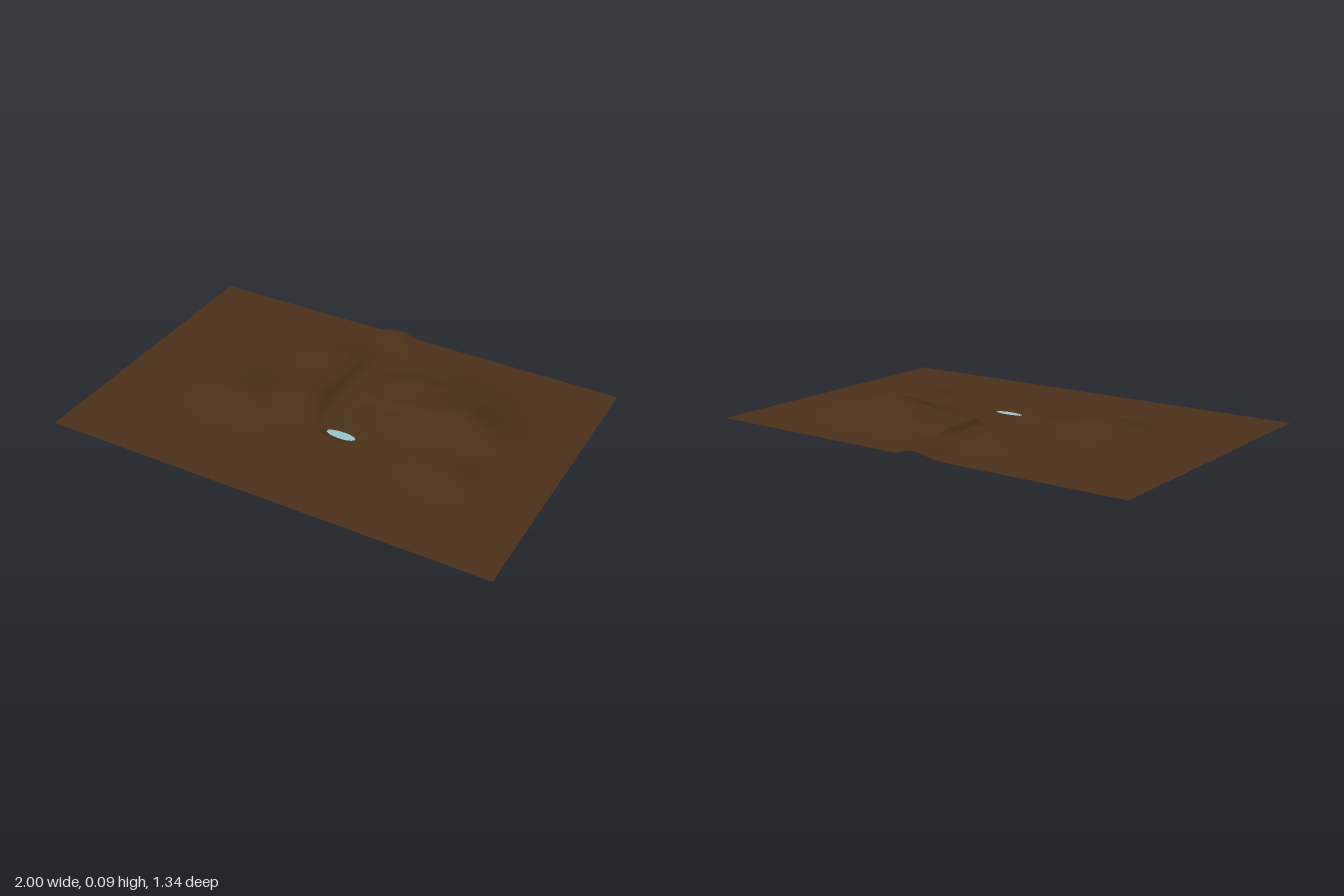
import * as THREE from 'three';

const BASE = 0.023;
const smooth = THREE.MathUtils.smoothstep;

// Rounded hills: [x, z, height, spread left, right, back, front]
const hills = [
  [0.51, -0.13, 0.068, 0.14, 0.125, 0.11, 0.085],
  [0.60, 0.19, 0.022, 0.10, 0.08, 0.09, 0.07],
  [0.36, -0.36, 0.018, 0.14, 0.16, 0.08, 0.09],
  [-0.43, 0.14, 0.044, 0.09, 0.12, 0.12, 0.075],
  [-0.17, 0.00, 0.036, 0.10, 0.07, 0.14, 0.08],
  [-0.17, -0.33, 0.024, 0.10, 0.06, 0.09, 0.12],
  [-0.04, -0.66, 0.022, 0.06, 0.035, 0.06, 0.06],
];

// Stream bed: [x, z] from the back ridge down to the pond
const stream = [[0.0, -0.50], [-0.02, -0.40], [-0.03, -0.10], [0.0, 0.06], [0.09, 0.147]];

function streamDistance(x, z) {
  let best = Infinity;
  for (let i = 0; i < stream.length - 1; i++) {
    const [ax, az] = stream[i], [bx, bz] = stream[i + 1];
    const dx = bx - ax, dz = bz - az;
    const t = THREE.MathUtils.clamp(((x - ax) * dx + (z - az) * dz) / (dx * dx + dz * dz), 0, 1);
    best = Math.min(best, Math.hypot(x - ax - t * dx, z - az - t * dz));
  }
  return best;
}

function height(x, z) {
  let y = BASE;
  for (const [cx, cz, h, left, right, back, front] of hills) {
    const u = (x - cx) / (x < cx ? left : right);
    const v = (z - cz) / (z < cz ? back : front);
    y += h * Math.exp(-0.5 * (u * u + v * v));
  }
  // terrace with short cliffs on its left and front edges
  const terrace = smooth(x, 0.045, 0.07) * (1 - smooth(x, 0.26, 0.42))
    * smooth(z, -0.42, -0.28) * (1 - smooth(z, -0.118, -0.095));
  y += 0.022 * terrace;
  // carved stream
  const carve = 1 - smooth(streamDistance(x, z), 0.025, 0.085);
  y = THREE.MathUtils.lerp(y, Math.min(y, 0.018), carve);
  // pond hollow
  const u = (x - 0.09) / 0.05, v = (z - 0.147) / 0.014;
  return Math.max(0, y - 0.021 * Math.exp(-0.5 * (u * u + v * v)));
}

export function createModel() {
  const group = new THREE.Group();

  // Ground sheet
  const ground = new THREE.PlaneGeometry(2, 1.34, 200, 134).rotateX(-Math.PI / 2);
  const p = ground.attributes.position;
  for (let i = 0; i < p.count; i++) p.setY(i, height(p.getX(i), p.getZ(i)));
  ground.computeVertexNormals();
  const terrain = new THREE.Mesh(ground,
    new THREE.MeshStandardMaterial({ color: 0x4a3018, side: THREE.DoubleSide }));
  terrain.name = 'terrain';

  // Flat water sheet, showing only inside the hollow
  const water = new THREE.Mesh(new THREE.PlaneGeometry(0.28, 0.14).rotateX(-Math.PI / 2),
    new THREE.MeshStandardMaterial({ color: 0x96c4c8, side: THREE.DoubleSide }));
  water.name = 'pondWater';
  water.position.set(0.09, 0.0125, 0.15);

  group.add(terrain, water);
  return group;
}
